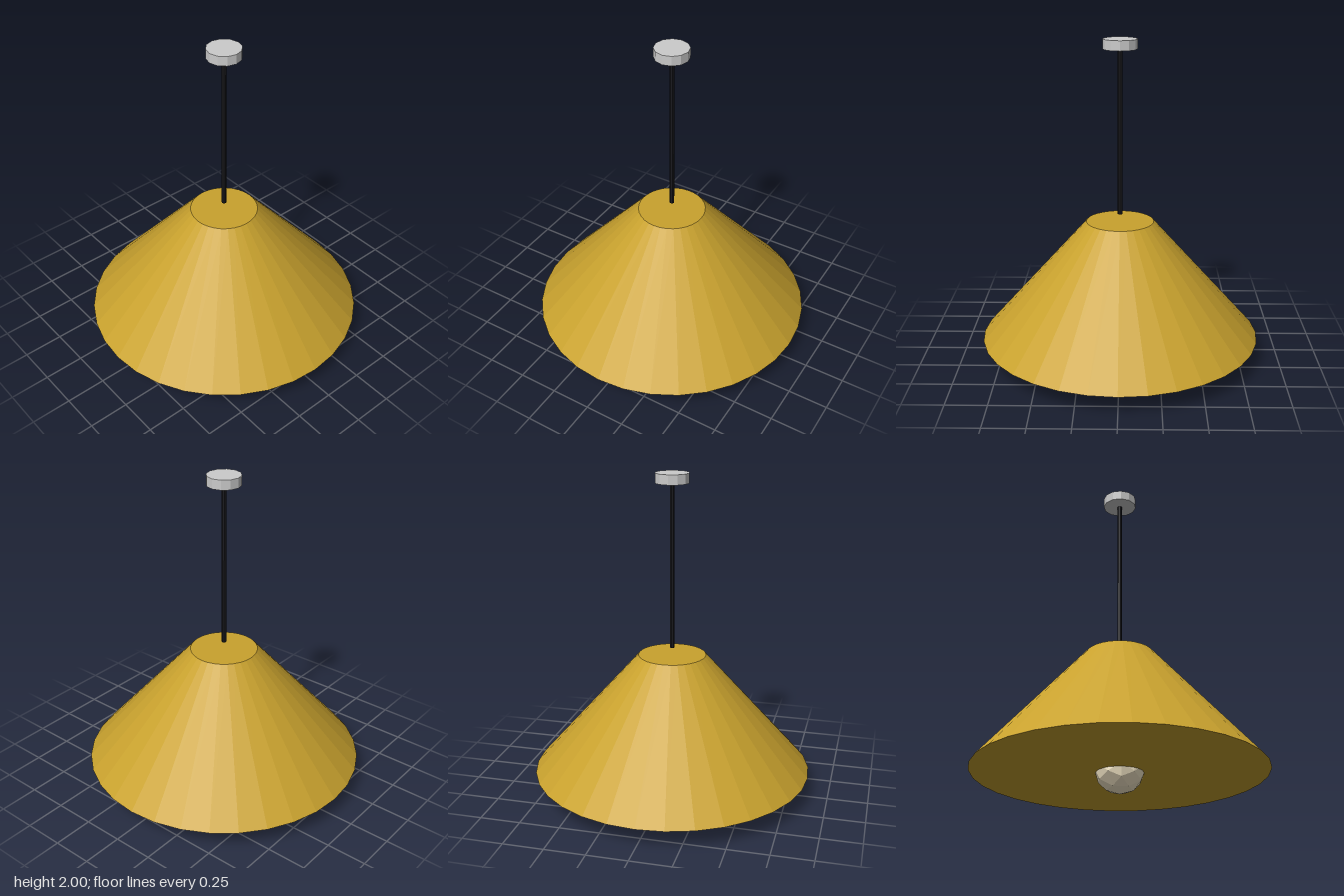
import * as THREE from 'three';

const flat = (color) => new THREE.MeshStandardMaterial({ color, flatShading: true });

export function createModel() {
  const lamp = new THREE.Group();
  lamp.name = 'pendantLamp';

  const add = (name, geometry, color, y) => {
    const mesh = new THREE.Mesh(geometry, flat(color));
    mesh.name = name;
    mesh.position.y = y;
    lamp.add(mesh);
  };

  // Upright round part between two heights
  const column = (name, rTop, rBottom, y0, y1, sides, color) =>
    add(name, new THREE.CylinderGeometry(rTop, rBottom, y1 - y0, sides), color, (y0 + y1) / 2);

  // Ceiling mount
  column('canopy', 0.105, 0.105, 1.94, 2, 12, 0xcccccc);
  // Hanging cord, ending just above the shade
  column('cord', 0.015, 0.015, 0.92, 1.94, 8, 0x1a1a1e);
  // Closed conical shade
  column('shade', 0.21, 0.873, 0.125, 0.875, 32, 0xc9a22e);
  // Faceted bulb showing below the shade
  add('bulb', new THREE.IcosahedronGeometry(0.15, 1), 0xfff1d0, 0.15);

  return lamp;
}
